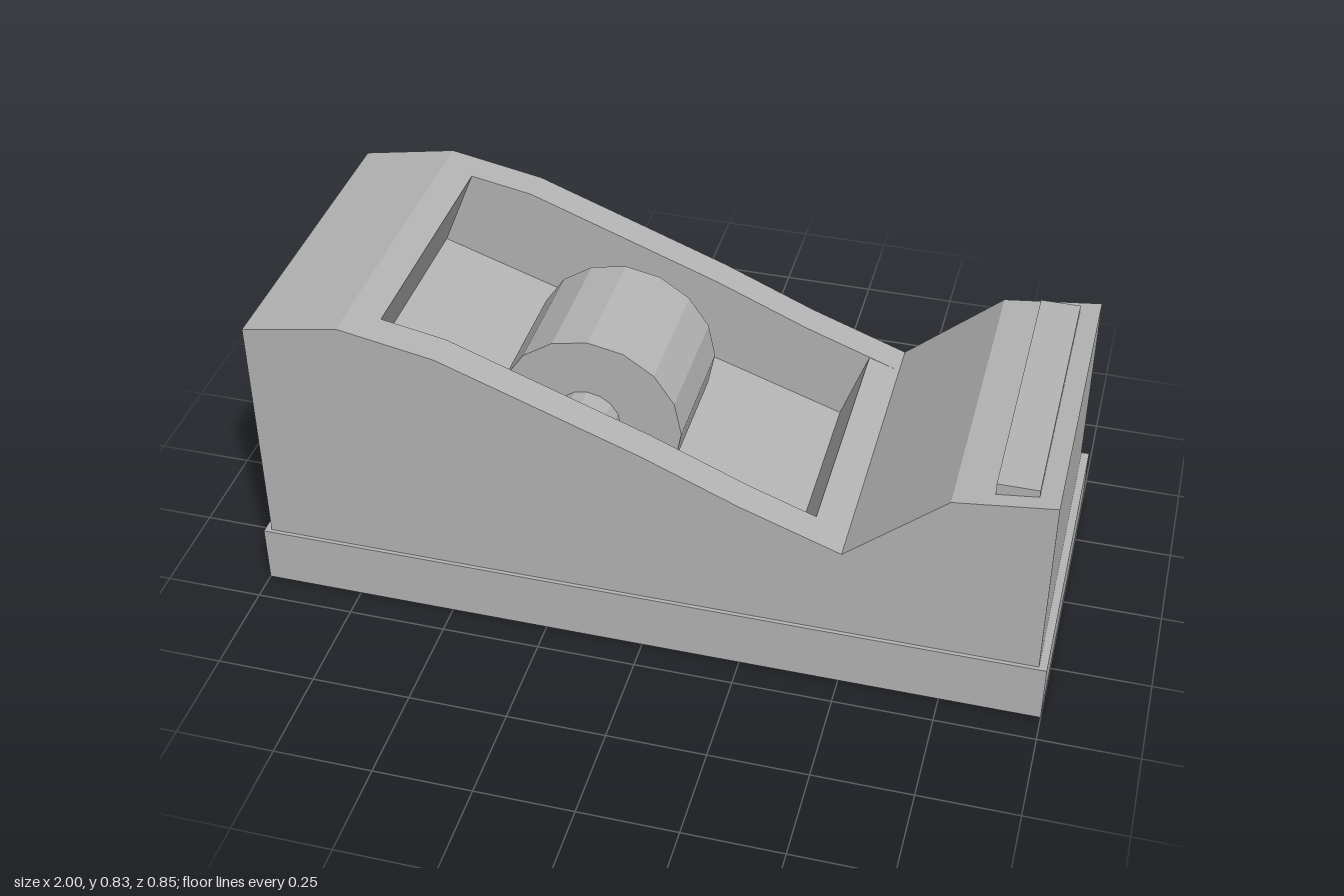
import * as THREE from 'three';

export function createModel() {
  const model = new THREE.Group();
  const grey = new THREE.MeshStandardMaterial({ color: 0xb4b4b4 });
  grey.name = 'grey plastic';

  function add(name, geometry, x = 0, y = 0, z = 0) {
    const mesh = new THREE.Mesh(geometry, grey);
    mesh.name = name;
    mesh.position.set(x, y, z);
    model.add(mesh);
    return mesh;
  }

  // Side profile extruded along z from z0 to z1
  function slab(name, points, z0, z1) {
    const shape = new THREE.Shape(points.map(([x, y]) => new THREE.Vector2(x, y)));
    add(name, new THREE.ExtrudeGeometry(shape, { depth: z1 - z0, bevelEnabled: false }), 0, 0, z0);
  }

  // Faceted cylinder lying along z
  function roller(name, radius, width, x, y) {
    const round = new THREE.CylinderGeometry(radius, radius, width, 16).rotateX(Math.PI / 2).toNonIndexed();
    round.computeVertexNormals();
    add(name, round, x, y, 0);
  }

  // Base plinth
  add('base', new THREE.BoxGeometry(2, 0.155, 0.85), 0, 0.0775, 0);

  // Body: outer profile split where the tilted well opens
  const rear = [[-0.983, 0.155], [-0.983, 0.785], [-0.74, 0.83]];
  const slope = [[-0.5, 0.785], [-0.26, 0.695], [0, 0.597], [0.24, 0.494]];
  const nose = [[0.49, 0.402], [0.735, 0.615], [0.98, 0.646], [0.98, 0.155]];
  const well = [[-0.66, 0.815], [-0.743, 0.607], [0.34, 0.235], [0.41, 0.43]];
  const full = [...rear, ...slope, ...nose];
  slab('leftWall', full, -0.415, -0.33);
  slab('rightWall', full, 0.33, 0.415);
  slab('wellBody', [...rear, ...well, ...nose], -0.33, 0.33);

  // Tape roll on its axle
  roller('tapeRoll', 0.235, 0.34, -0.2, 0.482);
  roller('axle', 0.085, 0.66, -0.205, 0.482);

  // Cutting strip on the nose
  add('cutter', new THREE.BoxGeometry(0.1, 0.05, 0.75), 0.88, 0.633, 0);

  return model;
}
